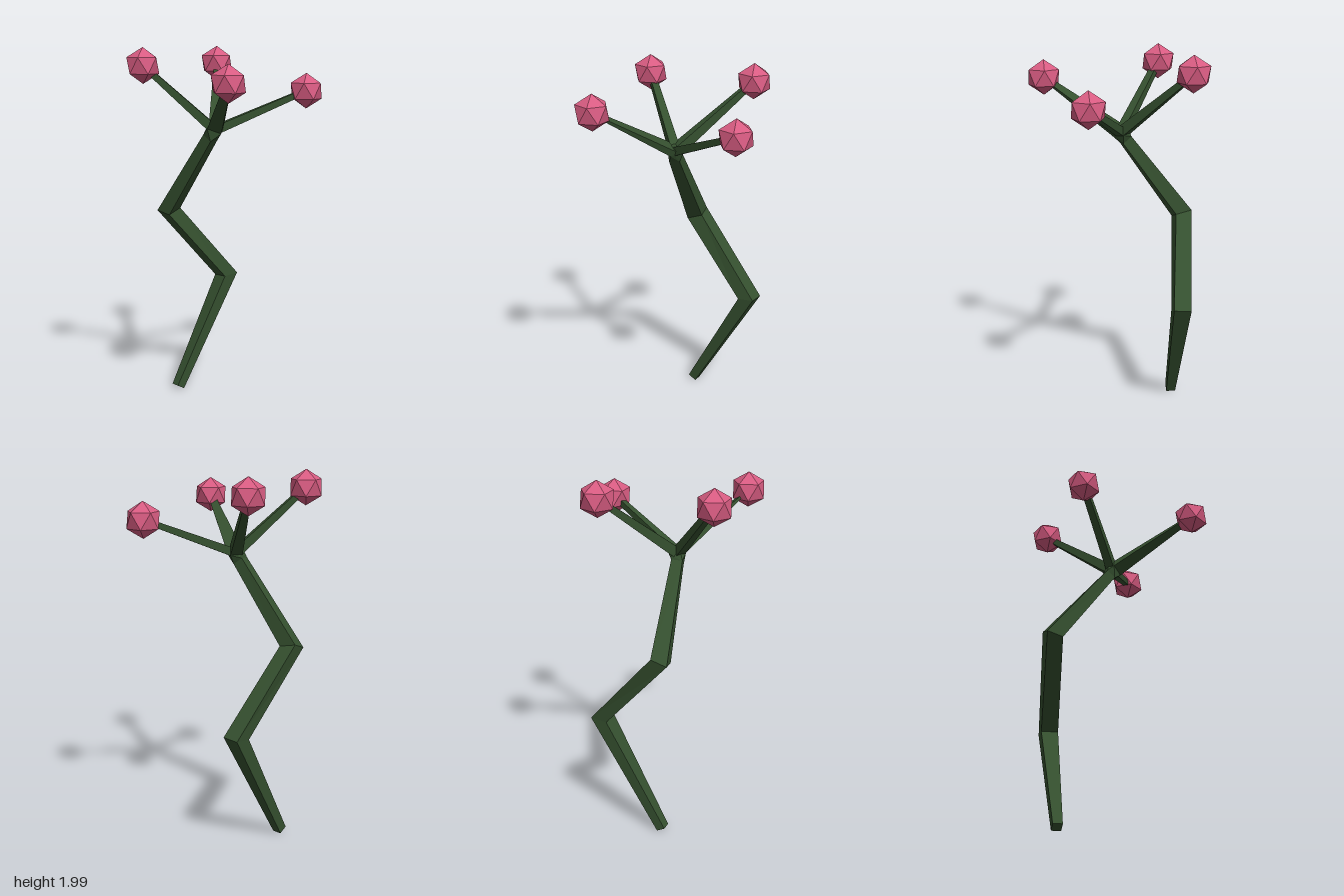
import * as THREE from 'three';
import { ConvexGeometry } from 'three/addons/geometries/ConvexGeometry.js';

const V = (x, y, z) => new THREE.Vector3(x, y, z);

// Rectangular cross-section at c, facing n, with its width along ref
function ring(c, n, ref, w, h = w) {
  const dir = n.clone().normalize();
  const a = ref.clone().addScaledVector(dir, -ref.dot(dir)).normalize();
  const b = dir.clone().cross(a);
  return [[-1, -1], [1, -1], [1, 1], [-1, 1]].map(([s, t]) =>
    c.clone().addScaledVector(a, s * w / 2).addScaledVector(b, t * h / 2));
}

// Four-sided limb through the given cross-sections, closed at both ends
function loft(rings) {
  const pts = [];
  const quad = (a, b, c, d) => pts.push(a, b, c, a, c, d);
  for (let k = 0; k + 1 < rings.length; k++) {
    const r = rings[k], s = rings[k + 1];
    for (let i = 0; i < 4; i++) {
      const j = (i + 1) % 4;
      quad(r[i], r[j], s[j], s[i]);
    }
  }
  quad(...[...rings[0]].reverse());
  quad(...rings[rings.length - 1]);
  const g = new THREE.BufferGeometry().setFromPoints(pts);
  g.computeVertexNormals();
  return g;
}

export function createModel() {
  const group = new THREE.Group();
  const green = new THREE.MeshStandardMaterial({ color: 0x35502f, flatShading: true });
  green.name = 'stem green';
  const pink = new THREE.MeshStandardMaterial({ color: 0xd85c82, flatShading: true });
  pink.name = 'blossom pink';
  const add = (name, geometry, material) => {
    const mesh = new THREE.Mesh(geometry, material);
    mesh.name = name;
    group.add(mesh);
    return mesh;
  };

  // Zigzag trunk
  const neck = ring(V(-0.045, 1.515, 0.012), V(0.6, 0.785, 0.12), V(1, 0, 0.12), 0.06);
  add('trunk', loft([
    ring(V(-0.31, 0.018, -0.05), V(0.158, 0.866, -0.467), V(0.94, 0, 0.34), 0.052),
    ring(V(-0.185, 0.65, -0.392), V(-0.138, 1.615, 0.125), V(0.94, 0, 0.34), 0.094),
    ring(V(-0.365, 1.08, -0.05), V(0.22, 1.53, 0.6), V(0.98, 0, 0.21), 0.093),
    neck,
  ]), green);

  // Branches: tip, [width, thickness] at the fork and at the tip, width direction
  const fork = V(-0.018, 1.555, 0.01);
  const branches = [
    { name: 'backRight', tip: V(-0.24, 1.902, -0.375), from: [0.065, 0.055], to: [0.028, 0.03] },
    { name: 'backLeft', tip: V(0.342, 1.76, -0.37), from: [0.046, 0.046], to: [0.027, 0.03] },
    { name: 'frontRight', tip: V(-0.344, 1.902, 0.215), from: [0.05, 0.05], to: [0.036, 0.03] },
    { name: 'frontLeft', tip: V(0.283, 1.828, 0.373), from: [0.08, 0.04], to: [0.036, 0.01], ref: V(1, 0, 0) },
  ];
  const forkPoints = [...neck];
  const blossom = new THREE.IcosahedronGeometry(0.0975, 0);
  blossom.rotateZ(-Math.atan(2 / (1 + Math.sqrt(5)))); // stand on a corner

  for (const { name, tip, from, to, ref } of branches) {
    const dir = tip.clone().sub(fork).normalize();
    const side = ref ?? V(0, 1, 0).cross(dir);
    const start = ring(fork.clone().addScaledVector(dir, 0.025), dir, side, ...from);
    forkPoints.push(...start);
    add(name + 'Branch', loft([start, ring(tip, dir, side, ...to)]), green);
    add(name + 'Blossom', blossom, pink).position.copy(tip);
  }

  // Faceted knot joining trunk and branches
  add('fork', new ConvexGeometry(forkPoints), green);
  return group;
}
